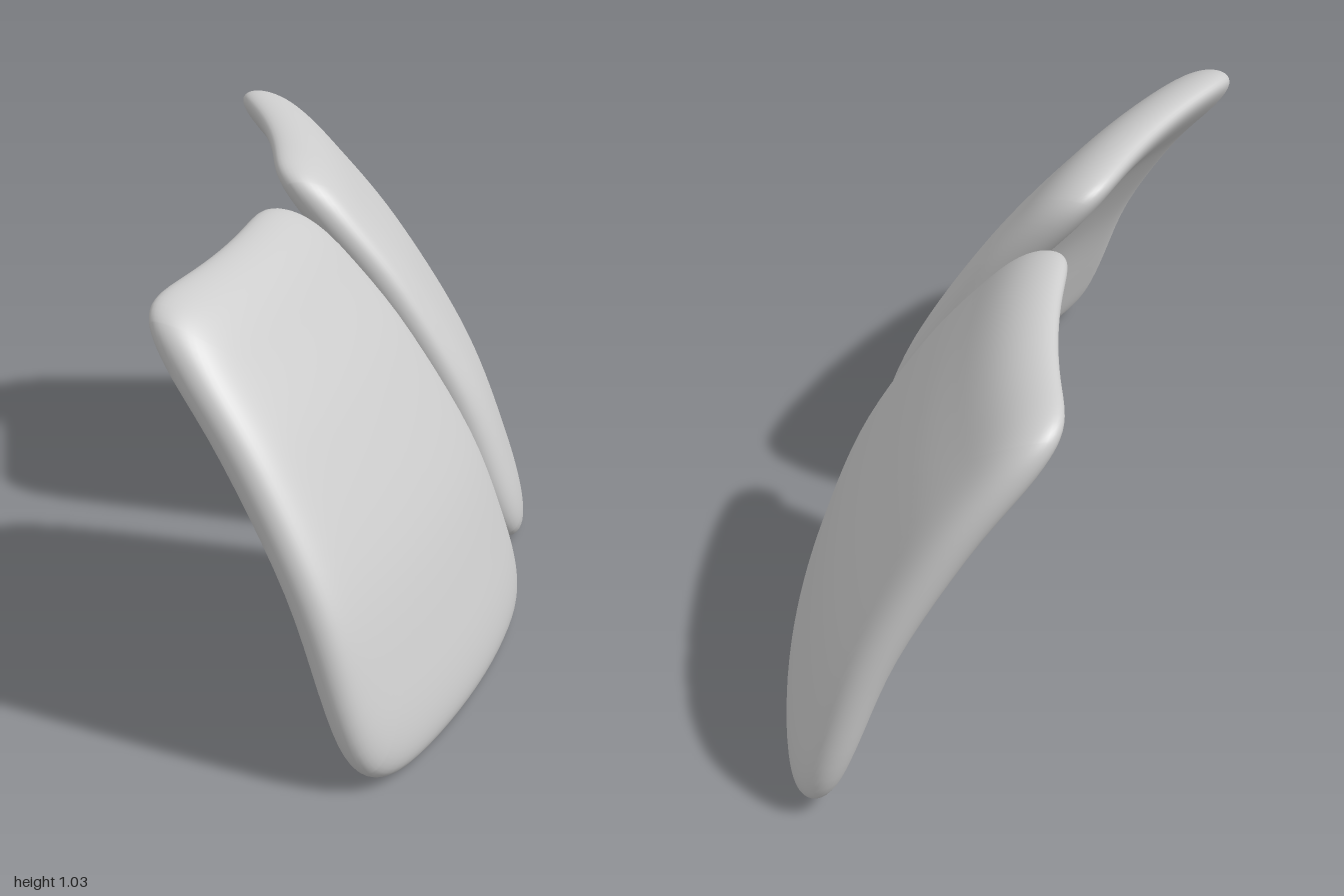
import * as THREE from 'three';

const AXIS = new THREE.Vector2(-1.083, -1.78); // x, z of the shared axis of revolution
const SECTOR = Math.PI / 6;                    // each panel fills 30 degrees
const HALF_GAP = 0.083;
const SIDE = 28, RINGS = 56;

// Side profile of the panels: radius from the axis, height
const profile = new THREE.SplineCurve([
  [2.477, 0.003], [2.417, 0.2], [2.32, 0.45], [2.157, 0.72], [2.007, 0.91], [1.905, 1.035],
].map(([r, y]) => new THREE.Vector2(r, y)));

// Counter-clockwise outline of a square with softly rounded corners
function outline() {
  const points = [];
  for (let side = 0; side < 4; side++) {
    for (let i = 0; i < SIDE; i++) {
      const a = Math.sin((i / SIDE - 0.5) * Math.PI);
      const [u, v] = [[1, a], [-a, 1], [-1, -a], [a, -1]][side];
      const k = Math.pow(Math.abs(u) ** 8 + Math.abs(v) ** 8, -1 / 8);
      points.push([u * k, v * k]);
    }
  }
  return points;
}

// Pillow-edged curved plate: rings run from the front centre, over the rim, to the back centre
function panelGeometry(middleAngle) {
  const loop = outline(), n = loop.length;
  const positions = [], index = [];
  const addPoint = (u, v, side) => {
    const t = THREE.MathUtils.clamp((v + 1) / 2, 0, 1);
    const p = profile.getPointAt(t);
    const angle = middleAngle + u * (SECTOR / 2 - Math.asin(HALF_GAP / p.x));
    const r = p.x + side * (0.066 + 0.018 * t); // deeper where the plate leans back
    positions.push(AXIS.x + r * Math.sin(angle), p.y, AXIS.y + r * Math.cos(angle));
  };

  addPoint(0, 0, 1);
  for (let i = 1; i < RINGS; i++) {
    const a = (i / RINGS) * Math.PI;
    const s = Math.sin(a);
    const side = Math.sign(Math.cos(a)) * Math.sqrt(Math.max(0, 1 - s ** 12));
    for (const [u, v] of loop) addPoint(u * s, v * s, side);
  }
  addPoint(0, 0, -1);

  const last = positions.length / 3 - 1;
  const at = (ring, j) => 1 + (ring - 1) * n + (j % n);
  for (let j = 0; j < n; j++) {
    index.push(0, at(1, j), at(1, j + 1));
    for (let i = 1; i < RINGS - 1; i++) {
      index.push(at(i, j), at(i + 1, j), at(i + 1, j + 1));
      index.push(at(i, j), at(i + 1, j + 1), at(i, j + 1));
    }
    index.push(at(RINGS - 1, j), last, at(RINGS - 1, j + 1));
  }

  const geometry = new THREE.BufferGeometry();
  geometry.setAttribute('position', new THREE.Float32BufferAttribute(positions, 3));
  geometry.setIndex(index);
  geometry.computeVertexNormals();
  return geometry;
}

export function createModel() {
  const model = new THREE.Group();
  model.name = 'curvedPanels';
  const grey = new THREE.MeshStandardMaterial({ color: 0xcccccc });
  grey.name = 'lightGrey';

  // Two neighbouring panels around the same axis
  ['rightPanel', 'leftPanel'].forEach((name, i) => {
    const panel = new THREE.Mesh(panelGeometry((i + 0.5) * SECTOR), grey);
    panel.name = name;
    model.add(panel);
  });
  return model;
}
